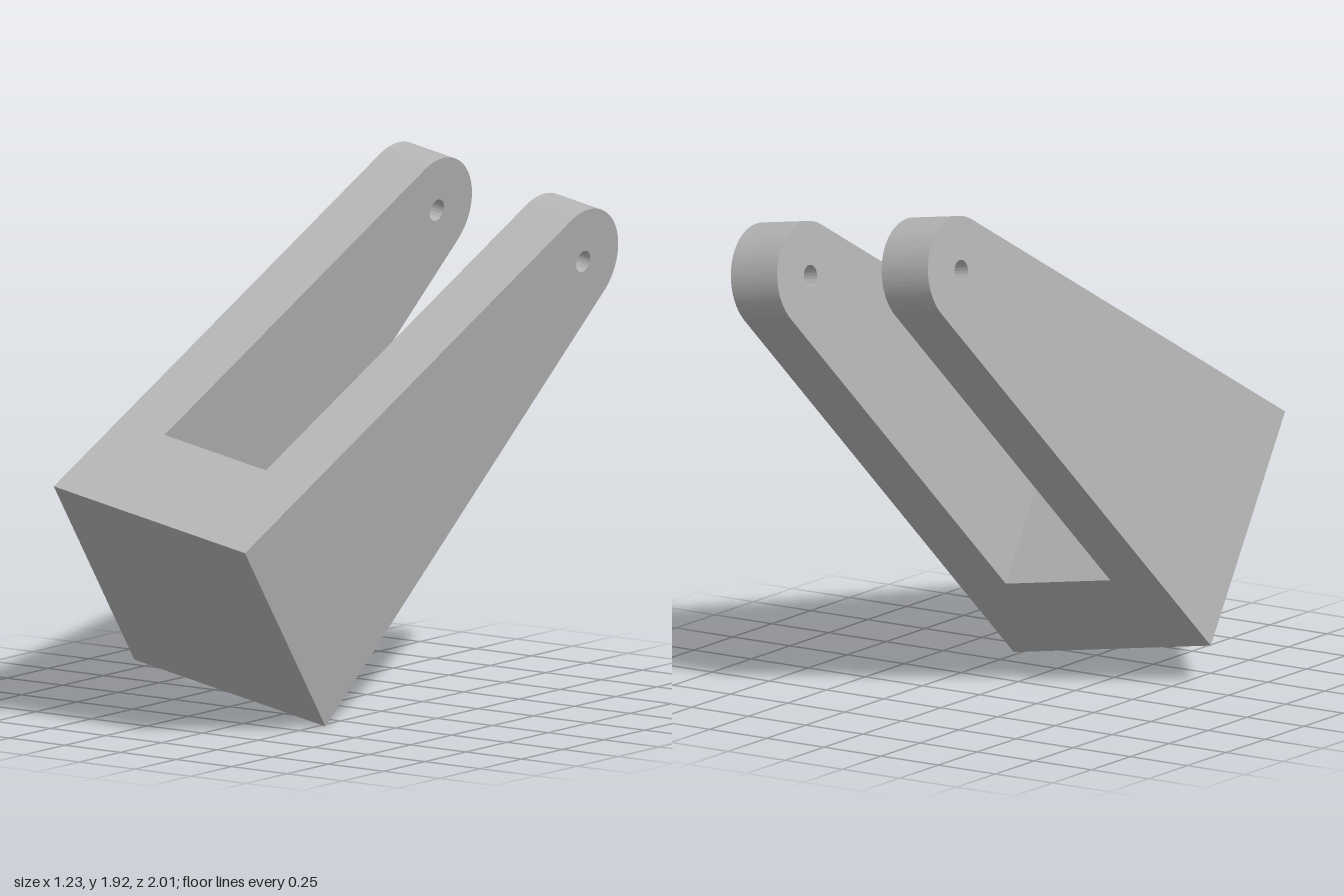
import * as THREE from 'three';
import { toCreasedNormals } from 'three/addons/utils/BufferGeometryUtils.js';

const WIDTH = 0.898;      // across both arms
const ARM = 0.211;        // thickness of one arm
const HALF = 0.485;       // half height of the base end
const REACH = 1.917;      // base to pivot centre
const TIP = 0.199;        // radius of the rounded tip
const HOLE = 0.04;        // pivot hole radius
const SLOT = 0.393;       // base to slot floor

// angle by which the long edges close in, tangent to the round tip
const TAPER = Math.atan2(HALF, REACH) - Math.asin(TIP / Math.hypot(HALF, REACH));

function extrude(shape, depth) {
  const g = new THREE.ExtrudeGeometry(shape, { depth, bevelEnabled: false, curveSegments: 32 });
  g.translate(0, 0, -depth / 2);
  return toCreasedNormals(g, 0.4);
}

// tapered side plate with a rounded, drilled tip
function armShape() {
  const s = new THREE.Shape();
  const a = Math.PI / 2 - TAPER;
  s.moveTo(0, -HALF);
  s.lineTo(REACH + TIP * Math.cos(a), -TIP * Math.sin(a));
  s.absarc(REACH, 0, TIP, -a, a, false);
  s.lineTo(0, HALF);
  s.closePath();
  const hole = new THREE.Path();
  hole.absarc(REACH, 0, HOLE, 0, Math.PI * 2, true);
  s.holes.push(hole);
  return s;
}

// solid block joining the arms at the base
function blockShape() {
  const end = HALF - SLOT * Math.tan(TAPER);
  return new THREE.Shape([
    new THREE.Vector2(0, -HALF), new THREE.Vector2(SLOT, -end),
    new THREE.Vector2(SLOT, end), new THREE.Vector2(0, HALF),
  ]);
}

export function createModel() {
  const grey = new THREE.MeshStandardMaterial({ color: 0xb4b4b4 });
  grey.name = 'plain grey';
  const model = new THREE.Group();
  model.name = 'forkBracket';

  const bracket = new THREE.Group();
  bracket.name = 'bracket';
  const armGeometry = extrude(armShape(), ARM);
  for (const side of [-1, 1]) {
    const arm = new THREE.Mesh(armGeometry, grey);
    arm.name = side > 0 ? 'leftArm' : 'rightArm';
    arm.position.z = side * (WIDTH - ARM) / 2;
    bracket.add(arm);
  }
  const block = new THREE.Mesh(extrude(blockShape(), WIDTH - 2 * ARM), grey);
  block.name = 'baseBlock';
  bracket.add(block);

  // tilted pose: length runs up and back, width runs along x
  const across = new THREE.Vector3(0.985, -0.165, 0.037).normalize();
  const along = new THREE.Vector3(0.133, 0.631, -0.764);
  along.addScaledVector(across, -along.dot(across)).normalize();
  const up = new THREE.Vector3().crossVectors(across, along);
  bracket.quaternion.setFromRotationMatrix(new THREE.Matrix4().makeBasis(along, up, across));
  bracket.position.set(-0.1175, 0.446, 0.67);
  model.add(bracket);
  return model;
}
